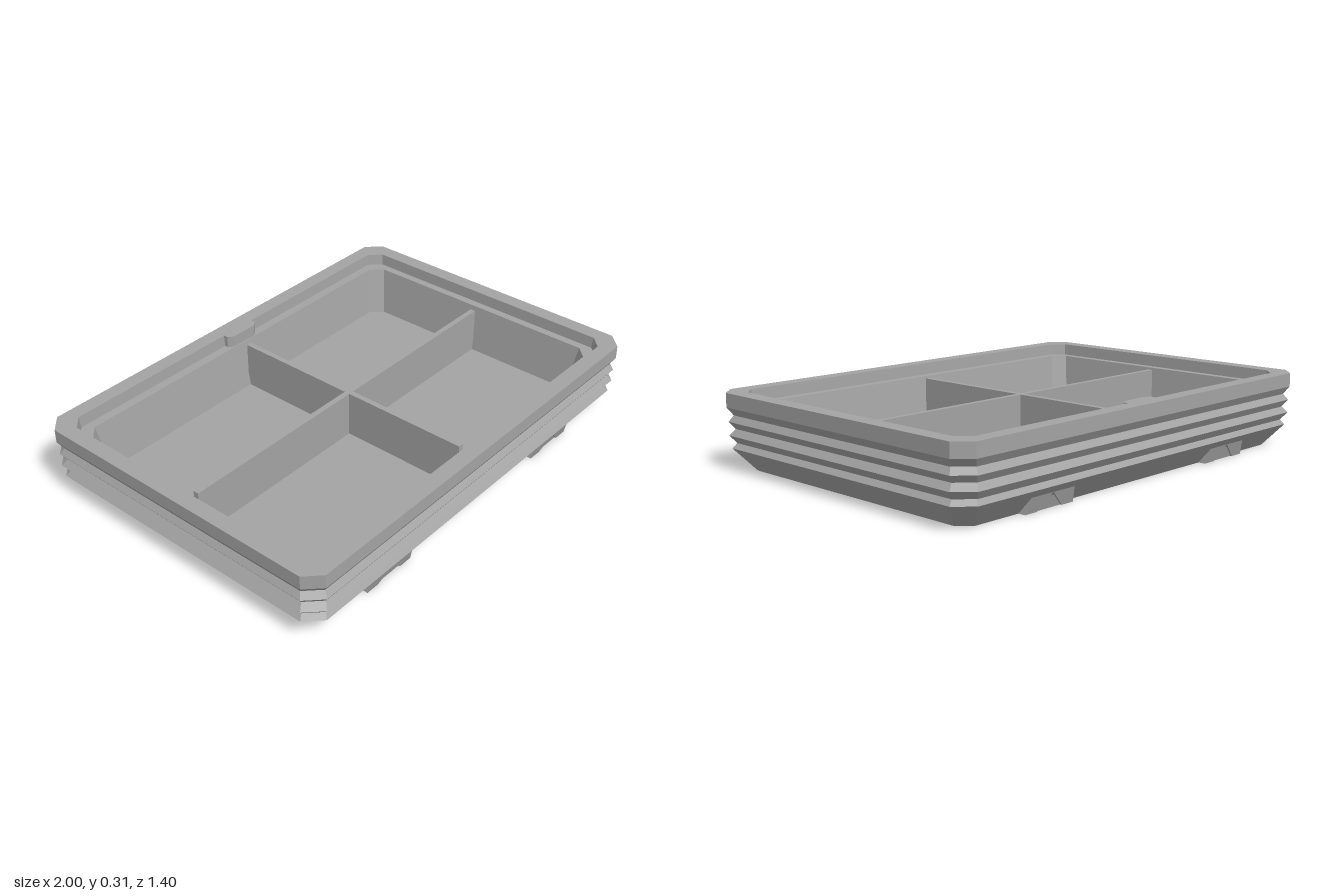
import * as THREE from 'three';

const gray = new THREE.MeshStandardMaterial({ color: 0xa3a3a3 });
gray.name = 'gray plastic';

// Chamfered rectangle, counterclockwise seen from above
function ring([hx, hz, c, y]) {
  return [
    [hx, hz - c], [hx, c - hz], [hx - c, -hz], [c - hx, -hz],
    [-hx, c - hz], [-hx, hz - c], [c - hx, hz], [hx - c, hz],
  ].map(([x, z]) => [x, y, z]);
}

// Flat-faced skin through the rings, capped at both ends
function loft(profile) {
  const rings = profile.map(ring);
  const pos = [];
  const tri = (...pts) => pts.forEach((p) => pos.push(...p));
  const last = rings.length - 1;
  for (let i = 0; i < 8; i++) {
    const j = (i + 1) % 8;
    for (let r = 0; r < last; r++) {
      const [a, b, c, d] = [rings[r][i], rings[r][j], rings[r + 1][j], rings[r + 1][i]];
      tri(a, b, c);
      tri(a, c, d);
    }
    tri([0, profile[0][3], 0], rings[0][j], rings[0][i]);
    tri([0, profile[last][3], 0], rings[last][i], rings[last][j]);
  }
  const geo = new THREE.BufferGeometry();
  geo.setAttribute('position', new THREE.Float32BufferAttribute(pos, 3));
  geo.computeVertexNormals();
  return geo;
}

function extrude(points, depth) {
  const shape = new THREE.Shape(points.map(([x, y]) => new THREE.Vector2(x, y)));
  return new THREE.ExtrudeGeometry(shape, { depth, bevelEnabled: false });
}

// Foot block whose front leans back toward the bottom edge
function footGeometry(points, front) {
  const geo = extrude(points, 1);
  const p = geo.attributes.position;
  for (let i = 0; i < p.count; i++) {
    const z = p.getZ(i) > 0.5 ? front + 0.3 * p.getY(i) : 0.58;
    p.setZ(i, z);
  }
  geo.computeVertexNormals();
  return geo;
}

export function createModel() {
  const model = new THREE.Group();
  model.name = 'compartmentTray';
  const add = (name, geo, parent = model) => {
    const mesh = new THREE.Mesh(geo, gray);
    mesh.name = name;
    parent.add(mesh);
    return mesh;
  };

  // Shell: outside with ridges, rim, inner ledge, sloped well and floor
  add('trayShell', loft([
    [0.915, 0.615, 0.05, 0],
    [0.99, 0.69, 0.065, 0.093],
    [0.972, 0.675, 0.06, 0.113],
    [0.997, 0.698, 0.065, 0.145],
    [0.975, 0.678, 0.06, 0.17],
    [0.997, 0.698, 0.065, 0.2],
    [0.98, 0.68, 0.06, 0.225],
    [1, 0.7, 0.062, 0.257],
    [1, 0.7, 0.062, 0.315],
    [0.934, 0.636, 0.05, 0.315],
    [0.93, 0.632, 0.05, 0.265],
    [0.895, 0.594, 0.05, 0.265],
    [0.86, 0.56, 0.05, 0.06],
  ]));

  // Crossed dividers
  add('longDivider', new THREE.BoxGeometry(1.734, 0.21, 0.024)).position.y = 0.155;
  add('shortDivider', new THREE.BoxGeometry(0.024, 0.21, 1.14)).position.y = 0.155;

  // Latch tab on the back rim
  const tab = add('latchTab', extrude(
    [[-0.062, 0.598], [0.062, 0.598], [0.084, 0.615], [0.084, 0.636], [-0.084, 0.636], [-0.084, 0.615]], 0.05));
  tab.rotation.x = -Math.PI / 2;
  tab.position.y = 0.265;

  // Four notched feet under the long sides
  const teeth = footGeometry(
    [[-0.125, 0], [-0.065, 0], [0, 0.064], [0.065, 0], [0.125, 0], [0.11, 0.07], [-0.11, 0.07]], 0.647);
  const web = footGeometry([[-0.066, 0], [0.066, 0], [0, 0.065]], 0.64);
  for (const turn of [0, Math.PI]) {
    const side = new THREE.Group();
    side.name = turn ? 'backFeet' : 'frontFeet';
    side.rotation.y = turn;
    for (const x of [-0.53, 0.53]) {
      add('footTeeth', teeth, side).position.x = x;
      add('footWeb', web, side).position.x = x;
    }
    model.add(side);
  }
  return model;
}
